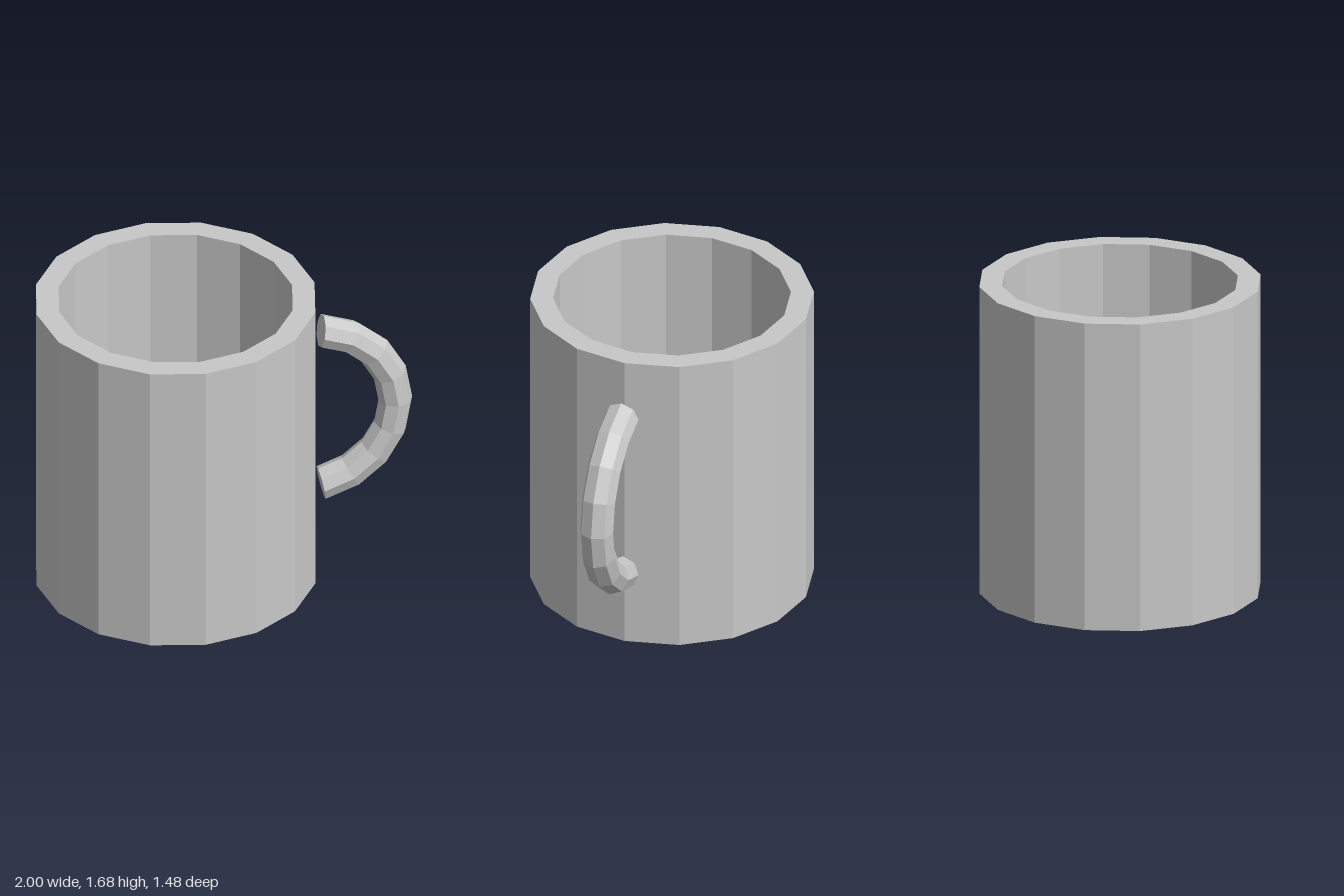
import * as THREE from 'three';

export function createModel() {
  const model = new THREE.Group();
  model.name = 'mug';

  const grey = new THREE.MeshStandardMaterial({ color: 0xc8c8c8, flatShading: true });
  grey.name = 'grey ceramic';

  const add = (name, geometry, parent) => {
    const mesh = new THREE.Mesh(geometry, grey);
    mesh.name = name;
    parent.add(mesh);
    return mesh;
  };

  // Body: underside, outer wall, flat rim, inner wall and inner floor
  const outer = 0.74, inner = 0.62, height = 1.68, floor = 0.12;
  const profile = [
    [0, 0], [outer, 0], [outer, height], [inner, height], [inner, floor], [0, floor],
  ].map(([r, y]) => new THREE.Vector2(r, y));
  add('cup', new THREE.LatheGeometry(profile, 16), model).position.x = -0.26;

  // Handle: eight-sided ring segment, closed at both ends
  const handle = new THREE.Group();
  handle.name = 'handle';
  handle.position.set(0.432, 0.905, 0);
  model.add(handle);

  const ring = 0.478, tube = 0.09, halfArc = THREE.MathUtils.degToRad(80);
  add('handleLoop', new THREE.TorusGeometry(ring, tube, 8, 8, halfArc * 2).rotateZ(-halfArc), handle);
  for (const side of [-1, 1]) {
    const cap = new THREE.CircleGeometry(tube, 8)
      .rotateX(-side * Math.PI / 2)
      .translate(ring, 0, 0)
      .rotateZ(side * halfArc);
    add(side > 0 ? 'upperHandleEnd' : 'lowerHandleEnd', cap, handle);
  }

  return model;
}
